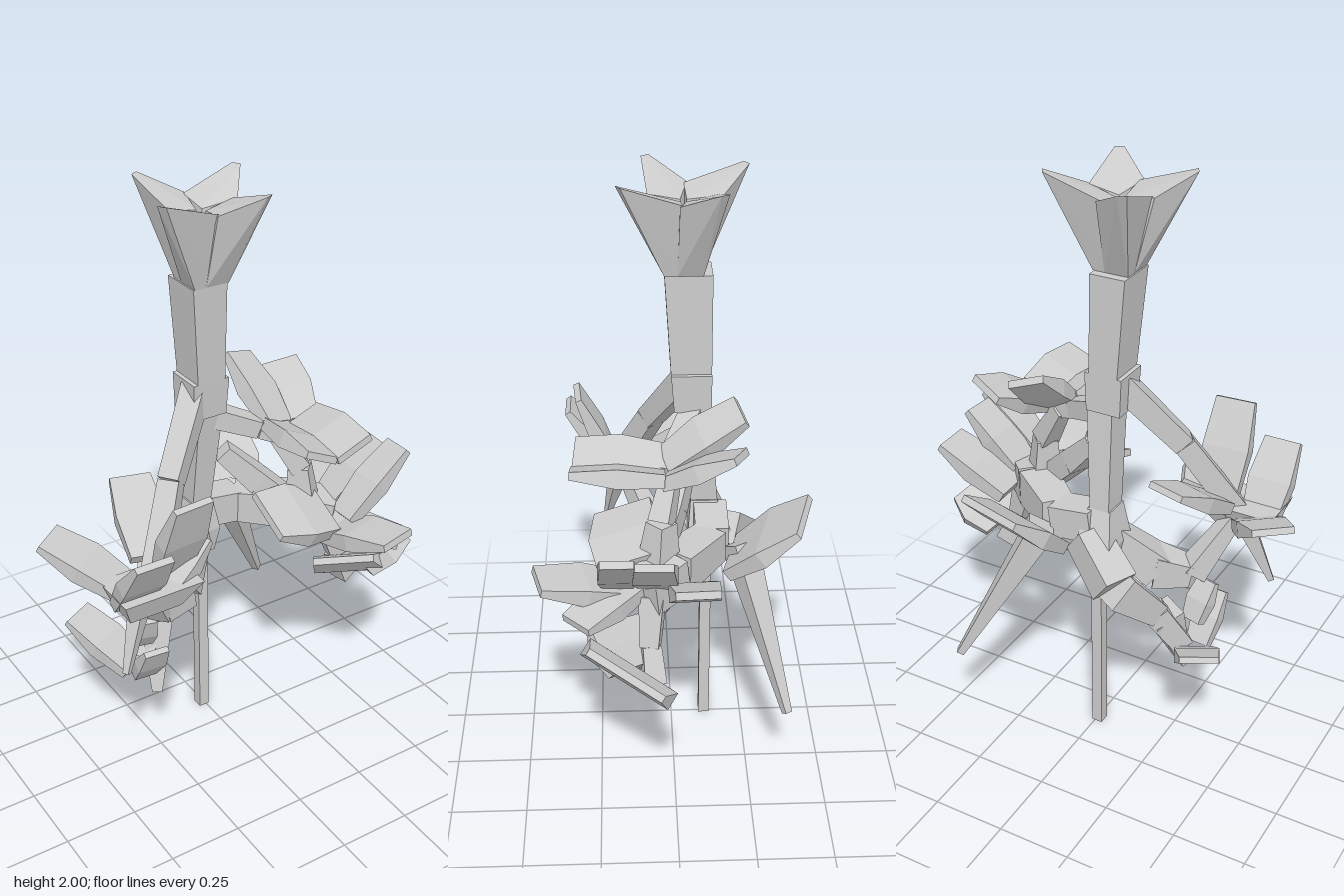
import * as THREE from 'three';
import { ConvexGeometry } from 'three/addons/geometries/ConvexGeometry.js';

const V = (p) => new THREE.Vector3(...p);
const material = new THREE.MeshStandardMaterial({ color: 0xcccccc, flatShading: true });

function addHull(group, name, points) {
  const mesh = new THREE.Mesh(new ConvexGeometry(points), material);
  mesh.name = name;
  group.add(mesh);
}

// Four corners of a rectangular section
function section(center, side, normal, w, t) {
  return [[-1, -1], [1, -1], [1, 1], [-1, 1]].map(([a, b]) =>
    center.clone().addScaledVector(side, a * w / 2).addScaledVector(normal, b * t / 2));
}

function frame(a, b, sideHint) {
  const dir = b.clone().sub(a).normalize();
  const side = sideHint ? V(sideHint) : new THREE.Vector3().crossVectors(dir, new THREE.Vector3(0, 1, 0));
  side.addScaledVector(dir, -side.dot(dir)).normalize();
  return [side, new THREE.Vector3().crossVectors(side, dir)];
}

// Square branch through points [x, y, z, thickness]
function branch(group, name, path) {
  for (let i = 0; i < path.length - 1; i++) {
    const [p, q] = [path[i], path[i + 1]];
    const a = V(p.slice(0, 3)), b = V(q.slice(0, 3));
    const [s, n] = frame(a, b);
    addHull(group, name, [...section(a, s, n, p[3], p[3]), ...section(b, s, n, q[3], q[3])]);
  }
}

// Blocky leaf: narrower keel at the base, widest past the middle, thin tip
function leaf(group, base, tip, w, t, sideHint) {
  const a = V(base), b = V(tip);
  const [s, n] = frame(a, b, sideHint);
  addHull(group, 'leaf', [
    ...section(a, s, n, w * 0.8, t * 0.7),
    ...section(a.clone().lerp(b, 0.5), s, n, w, t),
    ...section(b, s, n, w * 0.85, t * 0.4),
  ]);
}

function thorn(group, base, tip, w, tipWidth) {
  branch(group, 'thorn', [[...base, w], [...tip, tipWidth]]);
}

function sub(parent, name) {
  const g = new THREE.Group();
  g.name = name;
  parent.add(g);
  return g;
}

export function createModel() {
  const model = new THREE.Group();
  model.name = 'plant';

  // Pole and trunk
  const pole = new THREE.Mesh(new THREE.BoxGeometry(0.038, 0.8, 0.038), material);
  pole.position.set(-0.008, 0.4, -0.118);
  pole.name = 'pole';
  model.add(pole);
  const trunk = sub(model, 'trunk');
  [
    [[-0.03, 0.69, -0.12, 0.1, 0.1], [-0.03, 0.78, -0.13, 0.13, 0.15]],
    [[-0.03, 0.78, -0.13, 0.13, 0.15], [-0.03, 0.9, -0.11, 0.08, 0.09]],
    [[-0.03, 0.9, -0.11, 0.07, 0.09], [-0.015, 1.25, -0.075, 0.09, 0.1]],
    [[-0.03, 1.24, -0.07, 0.12, 0.12], [-0.03, 1.37, -0.065, 0.13, 0.13]],
    [[-0.03, 1.37, -0.065, 0.1, 0.13], [-0.045, 1.7, -0.055, 0.12, 0.15]],
  ].forEach((pair) => addHull(trunk, 'trunkSegment', pair.flatMap(([x, y, z, w, d]) =>
    section(V([x, y, z]), V([1, 0, 0]), V([0, 0, 1]), w, d))));

  // Crown of four pointed pinwheel petals
  const crown = sub(model, 'crown');
  crown.position.set(-0.04, 0, -0.04);
  for (let i = 0; i < 4; i++) {
    const petal = sub(crown, 'petal');
    petal.rotation.y = i * Math.PI / 2;
    addHull(petal, 'crownPetal', [
      [-0.01, 1.7, 0.02], [0.06, 1.7, 0.02], [0.06, 1.7, -0.06], [-0.01, 1.7, -0.06],
      [0.01, 1.92, -0.01], [0.005, 1.94, -0.11], [0.12, 1.94, 0.015],
      [0.205, 2, -0.1], [0.19, 2, -0.125],
    ].map(V));
  }

  // Upper left spray
  const upperLeft = sub(model, 'upperLeftSpray');
  branch(upperLeft, 'upperLeftBranch', [[-0.05, 1.33, -0.06, 0.08], [-0.22, 1.1, 0.06, 0.07], [-0.36, 0.83, 0.18, 0.08]]);
  [
    [[-0.44, 0.82, 0.13], [-0.6, 0.95, -0.07], 0.16],
    [[-0.45, 0.8, 0.18], [-0.45, 1.03, 0.35], 0.15],
    [[-0.3, 0.86, 0.18], [-0.29, 1.16, 0.31], 0.16],
    [[-0.33, 0.88, 0.11], [-0.26, 1.03, -0.14], 0.16],
    [[-0.34, 0.83, 0.22], [-0.18, 0.93, 0.15], 0.13],
  ].forEach(([a, b, w]) => leaf(upperLeft, a, b, w, 0.055));
  addHull(upperLeft, 'flowerBase', [
    ...section(V([-0.4, 0.78, 0.2]), V([1, 0, 0]), V([0, 0, 1]), 0.18, 0.12),
    ...section(V([-0.38, 0.86, 0.2]), V([1, 0, 0]), V([0, 0, 1]), 0.28, 0.18)]);
  thorn(upperLeft, [-0.4, 0.8, 0.17], [-0.49, 0.56, 0.22], 0.06, 0.02);
  branch(upperLeft, 'lowerLeftLink', [[-0.37, 0.81, 0.15, 0.05], [-0.27, 0.62, 0.05, 0.08], [-0.16, 0.64, 0, 0.12], [-0.04, 0.78, -0.09, 0.09]]);

  // Lower left spray
  const lowerLeft = sub(model, 'lowerLeftSpray');
  branch(lowerLeft, 'lowerLeftBranch', [[0.01, 0.8, -0.17, 0.11], [-0.13, 0.68, -0.23, 0.12], [-0.21, 0.53, -0.1, 0.08], [-0.28, 0.38, -0.03, 0.07]]);
  leaf(lowerLeft, [-0.33, 0.36, -0.03], [-0.44, 0.5, -0.23], 0.15, 0.05);
  leaf(lowerLeft, [-0.32, 0.36, 0.02], [-0.33, 0.52, 0.13], 0.1, 0.05);
  leaf(lowerLeft, [-0.31, 0.47, -0.01], [-0.33, 0.6, 0.06], 0.09, 0.05);
  thorn(lowerLeft, [-0.22, 0.5, -0.06], [-0.27, 0.26, 0.02], 0.11, 0.035);

  // Top right spray: two leaves back, two forward, each pair folded like a V
  const topRight = sub(model, 'topRightSpray');
  branch(topRight, 'topRightBranch', [[0, 1.22, -0.07, 0.07], [0.15, 1.16, 0.0, 0.06], [0.24, 1.13, 0.03, 0.07]]);
  branch(topRight, 'topRightStalk', [[0.2, 1.14, 0.0, 0.05], [0.29, 0.99, 0.04, 0.07], [0.3, 0.84, 0.05, 0.1]]);
  [
    [[0.21, 1.16, 0.02], [0.2, 1.33, -0.21], 0.14, [1, -0.5, 0]],
    [[0.3, 1.15, 0.02], [0.36, 1.26, -0.2], 0.16, [1, 0.4, 0]],
    [[0.2, 1.16, 0.03], [0.18, 1.18, 0.31], 0.14, [1, -0.45, 0]],
    [[0.31, 1.16, 0.03], [0.3, 1.18, 0.32], 0.16, [1, 0.4, 0]],
  ].forEach(([a, b, w, side]) => leaf(topRight, a, b, w, 0.06, side));

  // Middle right spray
  const midRight = sub(model, 'middleRightSpray');
  branch(midRight, 'middleRightBranch', [[-0.01, 0.84, -0.13, 0.11], [0.14, 0.82, -0.13, 0.11], [0.3, 0.82, 0, 0.13], [0.4, 0.8, 0.1, 0.12]]);
  branch(midRight, 'middleRightStalk', [[0.04, 1.08, -0.05, 0.06], [0.15, 0.96, 0, 0.08], [0.28, 0.83, 0.06, 0.08]]);
  [
    [[0.16, 0.77, -0.2], [0.22, 0.96, -0.42], 0.29],
    [[0.38, 0.83, 0.18], [0.6, 1.04, 0.18], 0.12],
    [[0.38, 0.8, -0.05], [0.62, 0.94, -0.06], 0.16],
    [[0.4, 0.84, 0.06], [0.59, 1.02, 0.07], 0.14],
    [[0.34, 0.78, 0.14], [0.41, 0.86, 0.43], 0.17],
    [[0.32, 0.85, 0.15], [0.08, 0.92, 0.16], 0.23, [0, -0.4, 1]],
    [[0.34, 0.8, 0.12], [0.52, 0.77, 0.31], 0.14],
  ].forEach(([a, b, w, side]) => leaf(midRight, a, b, w, 0.06, side));
  thorn(midRight, [0.15, 0.82, -0.22], [0.4, 0.31, -0.37], 0.09, 0.025);

  // Lower right spray: two broad leaves slanting up to the front
  const lowRight = sub(model, 'lowerRightSpray');
  branch(lowRight, 'lowerRightBranch', [[0.38, 0.78, 0.07, 0.08], [0.43, 0.62, 0.08, 0.06], [0.48, 0.51, 0.07, 0.07]]);
  leaf(lowRight, [0.5, 0.57, 0.14], [0.645, 0.67, 0.16], 0.32, 0.06, [0, 0.2, 0.27]);
  leaf(lowRight, [0.48, 0.57, 0.13], [0.37, 0.67, 0.2], 0.25, 0.06, [0, 0.2, 0.27]);
  return model;
}
